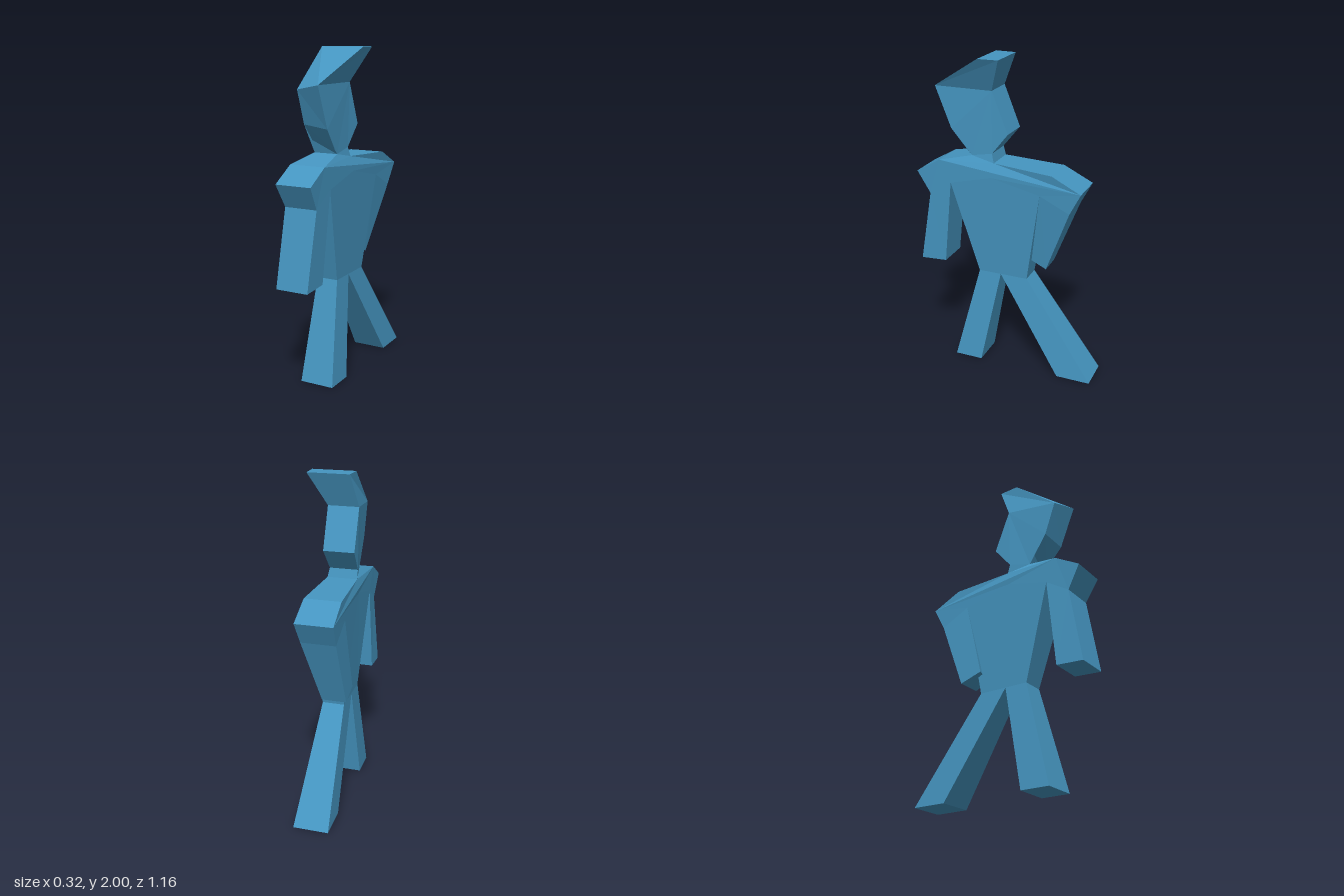
import * as THREE from 'three';

const blue = new THREE.MeshStandardMaterial({ color: 0x4595c0 });
blue.name = 'blue';

// Slab between two side outlines. Each corner is [z, y, leftX, rightX, z and y on the right side if different].
function slab(name, corners) {
  let left = corners.map(([z, y, x]) => new THREE.Vector3(x, y, z));
  let right = corners.map(([z, y, , x, z2 = z, y2 = y]) => new THREE.Vector3(x, y2, z2));
  let outline = left.map((p) => new THREE.Vector2(-p.z, p.y));
  if (THREE.ShapeUtils.area(outline) < 0) {
    left.reverse();
    right.reverse();
    outline.reverse();
  }
  const points = [];
  for (const [a, b, c] of THREE.ShapeUtils.triangulateShape(outline, [])) {
    points.push(left[a], left[b], left[c], right[c], right[b], right[a]);
  }
  for (let i = 0; i < left.length; i++) {
    const j = (i + 1) % left.length;
    points.push(right[i], right[j], left[j], right[i], left[j], left[i]);
  }
  const geometry = new THREE.BufferGeometry().setFromPoints(points);
  geometry.computeVertexNormals();
  const mesh = new THREE.Mesh(geometry, blue);
  mesh.name = name;
  return mesh;
}

export function createModel() {
  const model = new THREE.Group();
  model.name = 'walkingFigure';

  // Corners shared by neighbouring parts
  const brimFront = [0.445, 1.8, 0.05, -0.11, 0.4, 1.77];
  const brimBack = [0.08, 1.8, 0.05, -0.14];
  const neckFront = [0.215, 1.395, 0.04, -0.11];
  const neckBack = [0.07, 1.365, 0.05, -0.135];
  const chest = [0.08, 1.28, 0.075, -0.145];
  const frontArmpit = [0.35, 1.21, 0.07, -0.145];
  const backArmpit = [-0.23, 1.21, 0.07, -0.145];
  const frontElbow = [0.495, 1.12, 0.065, -0.14];
  const backElbow = [-0.415, 1.12, 0.065, -0.145];
  const frontHip = [0.185, 0.625, 0.02, -0.115];
  const crotch = [0.04, 0.625, 0.02, -0.115];
  const backHip = [-0.135, 0.625, 0.02, -0.115];

  model.add(
    // Head
    slab('hat', [[0.12, 2, 0.158, -0.11], [-0.005, 2, 0.152, -0.105], brimBack, brimFront]),
    slab('head', [
      brimFront, brimBack, [-0.02, 1.55, 0.05, -0.14], [0.085, 1.42, 0.04, -0.135], neckBack,
      neckFront, [0.24, 1.42, 0.04, -0.11, 0.24, 1.47], [0.345, 1.55, 0.05, -0.11, 0.33, 1.57],
    ]),

    // Body
    slab('shoulders', [
      neckFront, [0.42, 1.35, 0.075, -0.15], [0.575, 1.26, 0.075, -0.15], frontElbow, frontArmpit, chest,
      backArmpit, backElbow, [-0.485, 1.255, 0.078, -0.15], [-0.305, 1.345, 0.078, -0.145], neckBack,
    ]),
    slab('torso', [chest, frontArmpit, frontHip, crotch, backHip, backArmpit]),

    // Arms
    slab('frontArm', [frontElbow, [0.58, 0.655, 0.05, -0.155], [0.41, 0.665, 0.05, -0.155], frontArmpit]),
    slab('backArm', [
      backElbow, [-0.25, 0.7, -0.01, -0.16], [-0.155, 0.745, -0.01, -0.16, -0.11, 0.745], backArmpit,
    ]),

    // Legs
    slab('frontLeg', [frontHip, [0.34, 0, 0.07, -0.145], [0.16, 0, 0.07, -0.145], crotch]),
    slab('backLeg', [crotch, [-0.365, 0, 0.07, -0.145], [-0.58, 0, 0.07, -0.145], backHip]),
  );
  return model;
}
